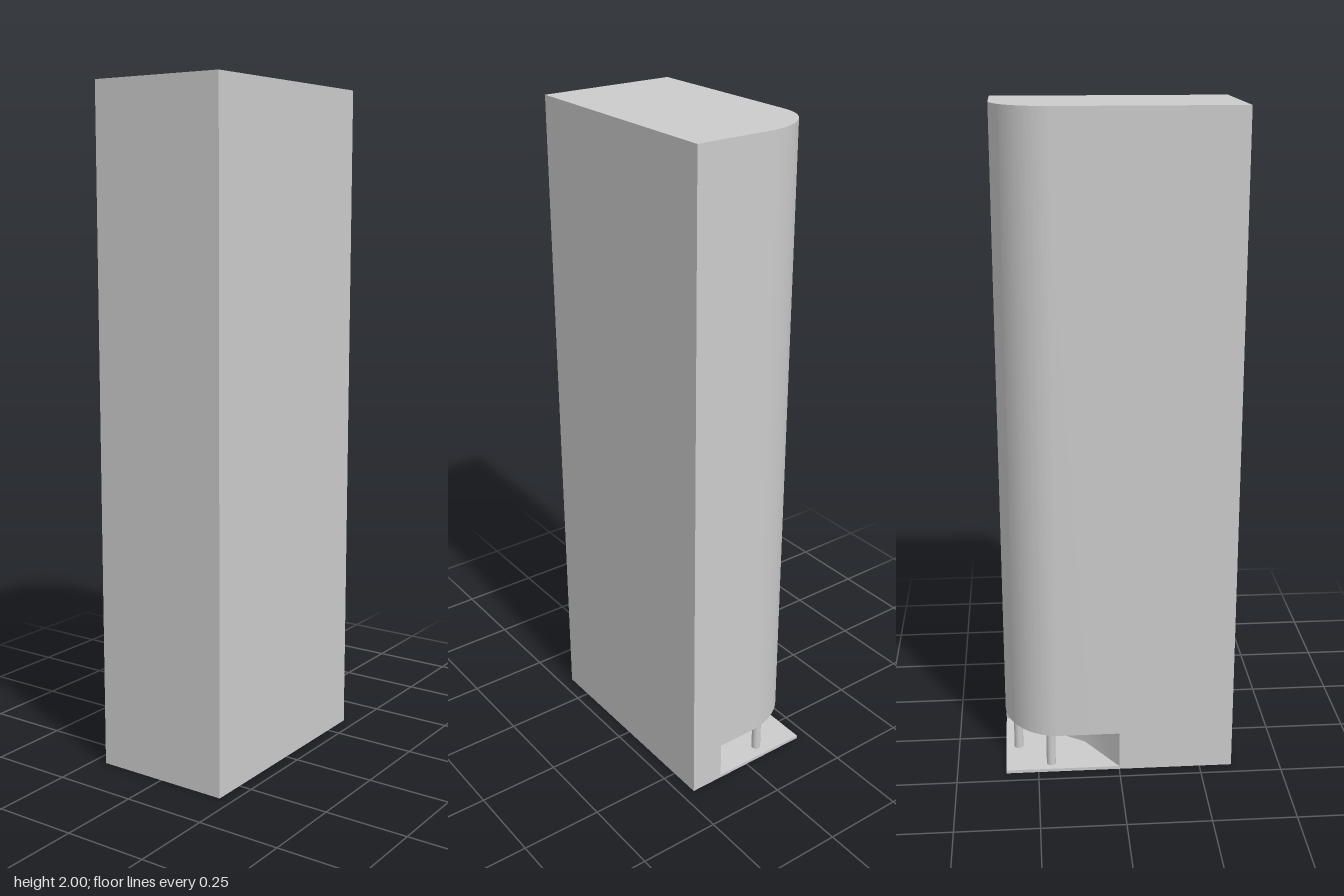
import * as THREE from 'three';
import { toCreasedNormals } from 'three/addons/utils/BufferGeometryUtils.js';

const W = 0.21, D = 0.35;          // half width and half depth
const SLAB = 0.01, SOFFIT = 0.125, TOP = 2;

// Raise a plan outline (drawn with x right, back of the model up) from y0 to y1
function raise(name, shape, y0, y1, material) {
  const geometry = new THREE.ExtrudeGeometry(shape, { depth: y1 - y0, bevelEnabled: false, curveSegments: 32 });
  geometry.rotateX(-Math.PI / 2);
  geometry.translate(0, y0, 0);
  const mesh = new THREE.Mesh(toCreasedNormals(geometry, 0.4), material);
  mesh.name = name;
  return mesh;
}

// Plan of the block; the callback draws its back corner from (W, D) round to the -x side
function plan(backCorner) {
  const s = new THREE.Shape();
  s.moveTo(-W, -D);
  s.lineTo(W, -D);
  s.lineTo(W, D);
  backCorner(s);
  s.closePath();
  return s;
}

export function createModel() {
  const group = new THREE.Group();
  group.name = 'tower';
  const material = new THREE.MeshStandardMaterial({ color: 0xcccccc });

  // Square ground slab
  group.add(raise('groundSlab', plan(s => s.lineTo(-W, D)), 0, SLAB, material));

  // Ground floor with the recessed corner entrance
  group.add(raise('groundFloor', plan(s => {
    s.lineTo(0.105, D);
    s.lineTo(-0.06, 0.1);
    s.lineTo(-W, 0);
  }), SLAB, SOFFIT, material));

  // Upper floors with one rounded corner overhanging the entrance
  group.add(raise('upperFloors', plan(s => {
    s.lineTo(-0.015, D);
    s.absellipse(-0.015, 0.18, 0.195, 0.17, Math.PI / 2, Math.PI, false);
  }), SOFFIT, TOP, material));

  // Two round columns under the overhang
  const columnGeometry = new THREE.CylinderGeometry(0.014, 0.014, SOFFIT - SLAB, 24);
  [[-0.07, -0.31], [-0.175, -0.21]].forEach(([x, z], i) => {
    const column = new THREE.Mesh(columnGeometry, material);
    column.name = 'column' + (i + 1);
    column.position.set(x, (SLAB + SOFFIT) / 2, z);
    group.add(column);
  });

  return group;
}
